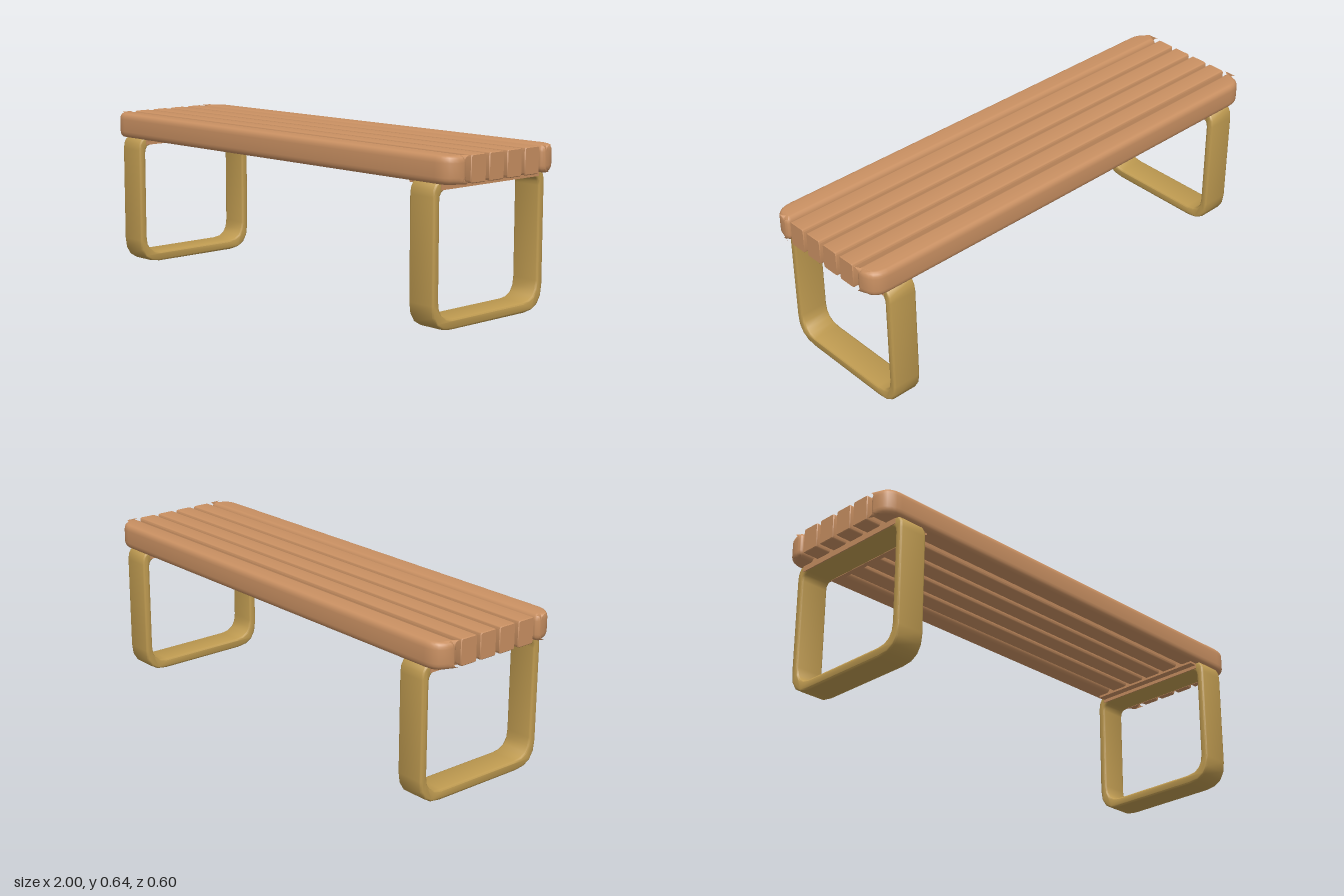
import * as THREE from 'three';
import { toCreasedNormals } from 'three/addons/utils/BufferGeometryUtils.js';

const SLAT_BOTTOM = 0.539, SLAT_TOP = 0.643;

// Rectangle path with its own corner radius at each corner: [bottom right, top right, top left, bottom left]
function roundedRect(path, x0, y0, x1, y1, [br, tr, tl, bl]) {
  path.moveTo(x0 + bl, y0);
  path.lineTo(x1 - br, y0);
  path.quadraticCurveTo(x1, y0, x1, y0 + br);
  path.lineTo(x1, y1 - tr);
  path.quadraticCurveTo(x1, y1, x1 - tr, y1);
  path.lineTo(x0 + tl, y1);
  path.quadraticCurveTo(x0, y1, x0, y1 - tl);
  path.lineTo(x0, y0 + bl);
  path.quadraticCurveTo(x0, y0, x0 + bl, y0);
  return path;
}

// Bevelled extrusion centred on the extrusion axis, total depth included
function extrude(shape, depth, bevelSize, bevelThickness, bevelSegments, curveSegments) {
  const geo = new THREE.ExtrudeGeometry(shape, {
    depth: depth - 2 * bevelThickness, bevelEnabled: true, bevelSize, bevelThickness,
    bevelOffset: -bevelSize, bevelSegments, curveSegments,
  });
  geo.translate(0, 0, bevelThickness - depth / 2);
  return geo;
}

export function createModel() {
  const wood = new THREE.MeshStandardMaterial({ color: 0xc99062 });
  wood.name = 'slatWood';
  const legMat = new THREE.MeshStandardMaterial({ color: 0xbe9a50 });
  legMat.name = 'legGold';

  const model = new THREE.Group();
  model.name = 'bench';
  const add = (name, geo, mat, x = 0, y = 0, z = 0) => {
    const mesh = new THREE.Mesh(geo, mat);
    mesh.name = name;
    mesh.position.set(x, y, z);
    model.add(mesh);
    return mesh;
  };

  const height = SLAT_TOP - SLAT_BOTTOM;
  const midY = (SLAT_TOP + SLAT_BOTTOM) / 2;

  // Four inner slats: chamfered section run along x
  const section = roundedRect(new THREE.Shape(), -0.0395, -height / 2, 0.0395, height / 2,
    [0.01, 0.01, 0.01, 0.01]);
  const innerGeo = toCreasedNormals(
    extrude(section, 2, 0.003, 0.003, 1, 3).rotateY(Math.PI / 2), 0.7);
  for (const z of [-0.1445, -0.0483, 0.0483, 0.1445]) add('innerSlat', innerGeo, wood, 0, midY, z);

  // Two edge slats: plan outline rounded on the outer corners, softened top and bottom
  const plan = roundedRect(new THREE.Shape(), -1, -0.0465, 1, 0.0465, [0.075, 0.02, 0.02, 0.075]);
  const edgeGeo = toCreasedNormals(
    extrude(plan, height, 0.018, 0.026, 4, 6).rotateX(-Math.PI / 2), 0.9);
  for (const side of [1, -1]) {
    const slat = add(side > 0 ? 'frontSlat' : 'backSlat', edgeGeo, wood, 0, midY, side * 0.248);
    if (side < 0) slat.rotation.y = Math.PI;
  }

  // Loop legs: closed frame with larger radii at the floor
  const frame = roundedRect(new THREE.Shape(), -0.3, 0, 0.3, 0.553, [0.1, 0.06, 0.06, 0.1]);
  frame.holes.push(roundedRect(new THREE.Path(), -0.268, 0.04, 0.268, 0.515,
    [0.075, 0.035, 0.035, 0.075]));
  const legGeo = toCreasedNormals(
    extrude(frame, 0.12, 0.007, 0.007, 2, 4).rotateY(Math.PI / 2), 0.9);

  const bearerGeo = new THREE.BoxGeometry(0.155, 0.026, 0.53);
  const facingGeo = new THREE.BoxGeometry(0.004, 0.032, 0.53);
  for (const side of [1, -1]) {
    add(side > 0 ? 'leftLeg' : 'rightLeg', legGeo, legMat, side * 0.87, 0, 0);
    // Wooden bearer under the slats, with thin facings over the top rail
    add('bearer', bearerGeo, wood, side * 0.8525, 0.543, 0);
    for (const x of [0.809, 0.931]) add('railFacing', facingGeo, wood, side * x, 0.532, 0);
  }
  return model;
}
